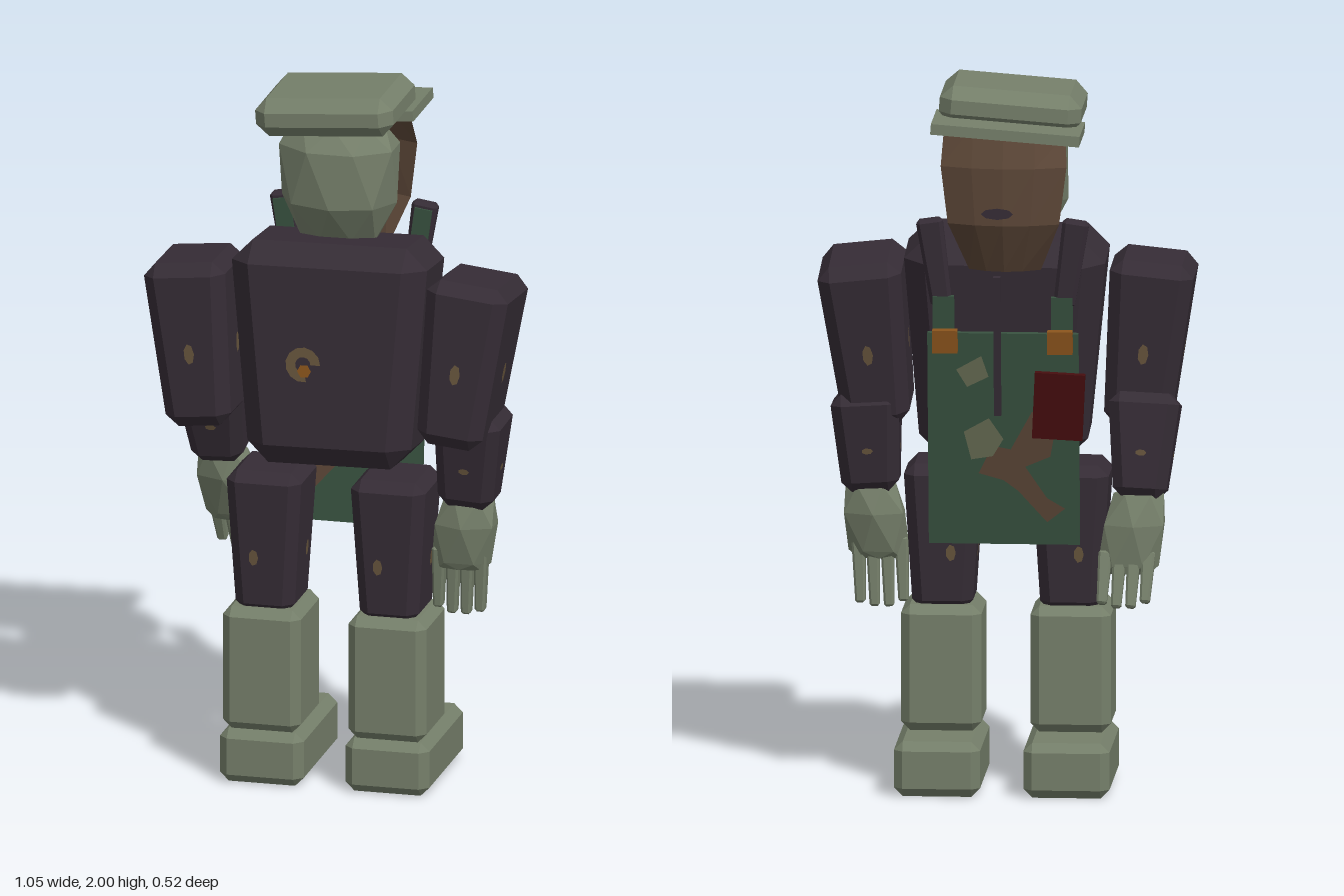
import * as THREE from 'three';
import { ConvexGeometry } from 'three/addons/geometries/ConvexGeometry.js';

const mat = (name, color, side = THREE.FrontSide) => {
  const m = new THREE.MeshStandardMaterial({ color, side });
  m.name = name;
  return m;
};

export function createModel() {
  const M = {
    sage: mat('sage', 0x757f6a),
    dark: mat('darkPlum', 0x352c35),
    apron: mat('apronGreen', 0x37513f),
    brown: mat('camoBrown', 0x5a4536, THREE.DoubleSide),
    tan: mat('camoTan', 0x666b52, THREE.DoubleSide),
    spot: mat('wornPatch', 0x66543c, THREE.DoubleSide),
    orange: mat('buckleOrange', 0x8a541c),
    red: mat('darkRed', 0x450d0e),
  };
  const model = new THREE.Group();
  model.name = 'figure';

  const add = (parent, name, geo, material, x = 0, y = 0, z = 0) => {
    const mesh = new THREE.Mesh(geo, material);
    mesh.name = name;
    mesh.position.set(x, y, z);
    parent.add(mesh);
    return mesh;
  };
  const hull = pts => new ConvexGeometry(pts.map(p => new THREE.Vector3(...p)));
  const box = (w, h, d) => new THREE.BoxGeometry(w, h, d);

  // Chamfered, tapered block running from a top centre to a bottom centre
  // (sizes are [half width, half depth] at each end)
  function block(name, material, top, topSize, bottom, bottomSize, c) {
    const a = new THREE.Vector3(...top), b = new THREE.Vector3(...bottom);
    const h = a.distanceTo(b) / 2, pts = [];
    for (const sy of [1, -1]) {
      const [w, d] = sy > 0 ? topSize : bottomSize;
      for (const sx of [1, -1]) for (const sz of [1, -1]) {
        pts.push([sx * (w - c), sy * h, sz * (d - c)]);
        pts.push([sx * w, sy * (h - c), sz * (d - c)]);
        pts.push([sx * (w - c), sy * (h - c), sz * d]);
      }
    }
    const g = new THREE.Group();
    g.name = name;
    g.position.copy(a).add(b).multiplyScalar(0.5);
    g.quaternion.setFromUnitVectors(new THREE.Vector3(0, 1, 0), a.sub(b).normalize());
    add(g, name + 'Body', hull(pts), material);
    // Puts a flat patch on the +z / -z / +x / -x face of the block
    g.userData.patch = (face, u, y, rx, ry) => {
      const axis = face[1] === 'x' ? 0 : 1, s = face[0] === '+' ? 1 : -1;
      const t = (y + h - c) / (2 * (h - c));
      const off = THREE.MathUtils.lerp(bottomSize[axis], topSize[axis], t) + 0.002;
      const tilt = Math.atan2(topSize[axis] - bottomSize[axis], 2 * (h - c));
      const geo = new THREE.CircleGeometry(1, 7).scale(rx, ry, 1).rotateX(tilt)
        .rotateY(axis ? (s > 0 ? 0 : Math.PI) : s * Math.PI / 2);
      add(g, 'patch', geo, M.spot, axis ? u : s * off, y, axis ? s * off : u);
    };
    model.add(g);
    return g;
  }

  // Boots and legs
  for (const s of [-1, 1]) {
    block('foot', M.sage, [s * 0.18, 0.155, 0.01], [0.12, 0.21], [s * 0.18, 0, 0.01], [0.12, 0.21], 0.025);
    block('bootShaft', M.sage, [s * 0.18, 0.51, 0.095], [0.112, 0.125], [s * 0.18, 0.155, 0.095], [0.112, 0.125], 0.025);
    const leg = block('leg', M.dark, [s * 0.178, 0.905, 0.095], [0.107, 0.115], [s * 0.178, 0.49, 0.095], [0.085, 0.1], 0.03);
    for (const f of ['+z', '-z', '+x', '-x']) leg.userData.patch(f, -0.025, -0.04, 0.014, 0.024);
  }

  // Torso with a worn ring patch on its +z face
  const torso = block('torso', M.dark, [0, 1.56, 0.045], [0.28, 0.155], [0.01, 0.93, 0.11], [0.235, 0.135], 0.06);
  const ring = add(torso, 'ringPatch', new THREE.RingGeometry(0.022, 0.05, 10, 1, 0, 4.9), M.spot, -0.06, -0.02, 0.148);
  ring.rotation.x = 0.035;
  add(ring, 'ringCentre', new THREE.CircleGeometry(0.02, 6), M.orange, 0.004, -0.018, 0.002);

  // Upper arms, forearms
  const arms = [
    block('rightUpperArm', M.dark, [-0.41, 1.49, 0.075], [0.117, 0.135], [-0.363, 1.02, 0.09], [0.094, 0.125], 0.035),
    block('leftUpperArm', M.dark, [0.41, 1.485, 0.07], [0.117, 0.15], [0.36, 1.02, 0.12], [0.094, 0.135], 0.035),
    block('rightForearm', M.dark, [-0.395, 1.13, -0.08], [0.098, 0.095], [-0.382, 0.84, -0.14], [0.075, 0.07], 0.03),
    block('leftForearm', M.dark, [0.395, 1.1, 0.068], [0.095, 0.1], [0.378, 0.82, 0.06], [0.08, 0.07], 0.03),
  ];
  arms.forEach((arm, i) => {
    const [rx, ry] = i < 2 ? [0.015, 0.03] : [0.016, 0.009];
    for (const f of ['+z', '-z', '+x', '-x']) arm.userData.patch(f, 0, -0.02, rx, ry);
  });

  // Faceted hands with four fingers each
  function hand(name, wrist, knuckle, tip) {
    const sections = [[0, 0.07, 0.05], [0.38, 0.095, 0.068], [0.9, 0.085, 0.04], [1, 0.07, 0.025]];
    const pts = [];
    sections.forEach(([t, w, d], i) => {
      const c = wrist.map((v, k) => THREE.MathUtils.lerp(v, knuckle[k], t));
      const turn = i % 2 ? Math.PI / 6 : 0;
      for (let k = 0; k < 6; k++) {
        const a = turn + k * Math.PI / 3;
        pts.push([c[0] + w * Math.cos(a), c[1], c[2] + d * Math.sin(a)]);
      }
    });
    add(model, name, hull(pts), M.sage);
    for (let i = 0; i < 4; i++) {
      const x = (i - 1.5) * 0.04, lift = [0.015, 0, 0, 0.01][i];
      block(name + 'Finger', M.sage, [knuckle[0] + x, knuckle[1] + 0.06, knuckle[2]], [0.019, 0.022],
        [tip[0] + x, tip[1] + lift, tip[2]], [0.014, 0.017], 0.006);
    }
  }
  hand('rightHand', [-0.38, 0.86, -0.15], [-0.35, 0.64, -0.185], [-0.342, 0.55, -0.235]);
  hand('leftHand', [0.38, 0.84, 0.055], [0.355, 0.63, 0.06], [0.348, 0.495, 0.045]);

  // Head: faceted, with staggered rings
  const headRings = [[1.885, 0.13, 0.075, 0], [1.82, 0.175, 0.125, 0.39], [1.66, 0.165, 0.125, 0], [1.55, 0.115, 0.05, 0.39]];
  const headPts = [];
  for (const [y, w, d, turn] of headRings) for (let k = 0; k < 8; k++) {
    const a = turn + k * Math.PI / 4;
    headPts.push([-0.008 + w * Math.cos(a), y, d * Math.sin(a)]);
  }
  add(model, 'head', hull(headPts), M.sage);

  // Cap, tipped to one side
  const crown = block('capCrown', M.sage, [-0.02, 1.986, 0], [0.198, 0.156], [-0.02, 1.876, 0], [0.198, 0.156], 0.035);
  crown.rotation.z = 0.075;
  add(model, 'capBrim', box(0.415, 0.03, 0.225), M.sage, -0.015, 1.885, -0.152).rotation.z = 0.075;

  // Bowed face mask hanging under the brim
  const rows = [[1.9, -0.165, 0.17], [1.78, -0.213, 0.175], [1.62, -0.218, 0.155], [1.48, -0.155, 0.1]];
  let mask = new THREE.PlaneGeometry(2, 3, 4, 3);
  const pos = mask.attributes.position;
  for (let i = 0; i < pos.count; i++) {
    const t = pos.getX(i), [y, z, w] = rows[Math.round(1.5 - pos.getY(i))];
    pos.setXYZ(i, -t * w - 0.005, y - (y > 1.88 ? 0.035 * t * t : 0), z + 0.04 * t * t);
  }
  mask = mask.toNonIndexed();
  mask.computeVertexNormals();
  add(model, 'faceMask', mask, M.brown);
  add(model, 'mouth', new THREE.CircleGeometry(1, 8).scale(0.045, 0.016, 1).rotateY(Math.PI), M.dark, 0.01, 1.655, -0.222);

  // Apron, leaning with the chest
  const apron = new THREE.Group();
  apron.name = 'apron';
  apron.position.set(0, 1, -0.095);
  apron.rotation.x = -0.11;
  model.add(apron);
  add(apron, 'apronPanel', box(0.42, 0.61, 0.018), M.apron);
  const camo = [
    [M.brown, 0.0105, [[0.07, -0.1], [0.03, -0.02], [-0.02, -0.03], [-0.08, 0.08], [-0.15, 0.06], [-0.13, -0.05],
      [-0.06, -0.08], [-0.12, -0.17], [-0.17, -0.2], [-0.12, -0.24], [-0.04, -0.15], [0, -0.12]]],
    [M.tan, 0.0115, [[0.11, 0.02], [0.04, 0.06], [0, 0], [0.03, -0.05], [0.09, -0.06]]],
    [M.tan, 0.0115, [[0.13, 0.2], [0.06, 0.24], [0.04, 0.18], [0.1, 0.15]]],
  ];
  for (const [material, z, pts] of camo) {
    const shape = new THREE.Shape(pts.map(p => new THREE.Vector2(...p)));
    for (const s of [-1, 1]) add(apron, 'camoBlotch', new THREE.ShapeGeometry(shape), material, 0, 0, s * z);
  }
  // Straps, buckles, pocket flap and centre cord
  for (const s of [-1, 1]) {
    add(apron, 'apronStrap', box(0.06, 0.14, 0.014), M.apron, s * 0.165, 0.34, 0);
    add(apron, 'buckle', box(0.07, 0.065, 0.025), M.orange, s * 0.16, 0.285, -0.02);
    block('shoulderStrap', M.dark, [s * 0.205, 1.625, -0.135], [0.037, 0.02], [s * 0.17, 1.38, -0.128], [0.03, 0.016], 0.01);
    add(model, 'strapLining', box(0.05, 0.2, 0.006), M.apron, s * 0.19, 1.51, -0.111).rotation.z = -s * 0.14;
  }
  const pocket = add(apron, 'pocketFlap', box(0.14, 0.19, 0.02), M.red, -0.155, 0.1, -0.018);
  pocket.rotation.z = 0.05;
  add(apron, 'cord', box(0.02, 0.4, 0.02), M.dark, 0.015, 0.27, -0.012);

  return model;
}
